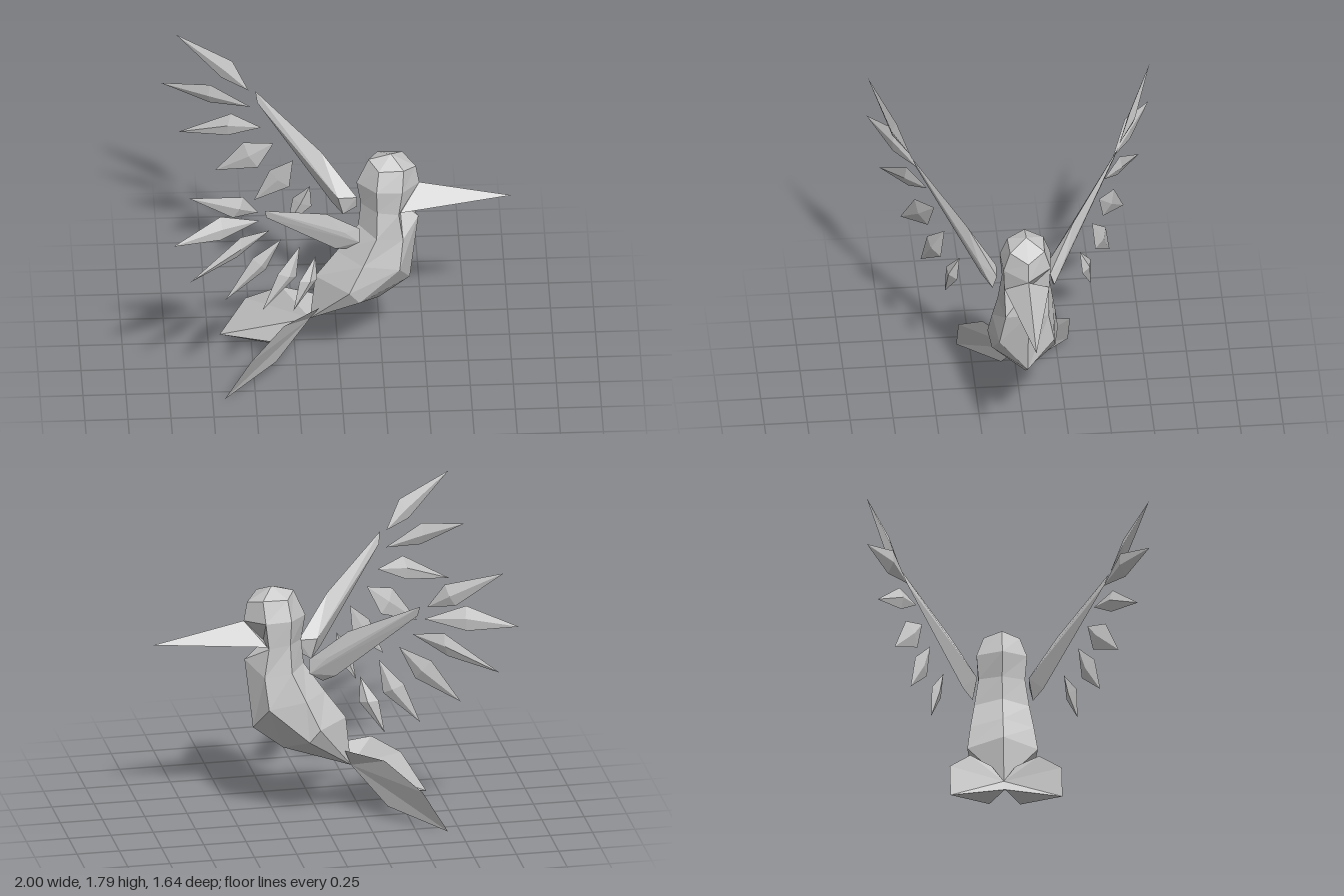
import * as THREE from 'three';
import { ConvexGeometry } from 'three/addons/geometries/ConvexGeometry.js';

const material = new THREE.MeshStandardMaterial({
  color: 0xcccccc, flatShading: true, side: THREE.DoubleSide,
});

const vec = (p, s = 1) => new THREE.Vector3(p[0], p[1], p[2] * s);

function named(name, geometry) {
  const mesh = new THREE.Mesh(geometry, material);
  mesh.name = name;
  return mesh;
}

// Flat-shaded facets from corners and triangle index triples
function facets(points, index) {
  const g = new THREE.BufferGeometry().setFromPoints(points);
  g.setIndex(index);
  const flat = g.toNonIndexed();
  flat.computeVertexNormals();
  return flat;
}

const hull = (points, s = 1) => new ConvexGeometry(points.map(p => vec(p, s)));

// Body and head: six-sided rings given as back ridge, rear side, fore side, front ridge
function bodyGeometry() {
  const rings = [
    [[-0.14, 0.64, 0], [0.05, 0.65, 0.205], [0.11, 0.57, 0.185], [0.23, 0.48, 0]],
    [[-0.015, 0.815, 0], [0.13, 0.825, 0.185], [0.345, 0.78, 0.16], [0.41, 0.62, 0]],
    [[0.11, 1.0, 0], [0.21, 1.0, 0.16], [0.365, 0.97, 0.125], [0.46, 1.05, 0]],
    [[0.125, 1.15, 0], [0.215, 1.17, 0.135], [0.34, 1.15, 0.13], [0.35, 1.155, 0]],
    [[0.10, 1.30, 0], [0.21, 1.32, 0.147], [0.36, 1.31, 0.137], [0.465, 1.29, 0]],
    [[0.17, 1.46, 0], [0.225, 1.44, 0.105], [0.37, 1.44, 0.1], [0.445, 1.405, 0]],
  ];
  const pts = [];
  for (const [back, rear, fore, front] of rings) {
    pts.push(vec(back), vec(rear), vec(fore), vec(front), vec(fore, -1), vec(rear, -1));
  }
  const rump = pts.push(new THREE.Vector3(-0.17, 0.34, 0)) - 1;
  const crown = pts.push(new THREE.Vector3(0.3, 1.495, 0)) - 1;
  const top = (rings.length - 1) * 6;
  const index = [];
  for (let i = 0; i < 6; i++) {
    const j = (i + 1) % 6;
    index.push(rump, j, i, crown, top + i, top + j);
    for (let r = 0; r < top; r += 6) {
      index.push(r + i, r + j, r + 6 + j, r + i, r + 6 + j, r + 6 + i);
    }
  }
  return facets(pts, index);
}

// Tail feather: shallow folded blade, root at the rump
function tailGeometry(s) {
  const pts = [
    [-0.17, 0.34, 0], [-0.12, 0.46, 0.07], [-0.33, 0.43, 0.2], [-0.53, 0.265, 0.325],
    [-0.68, 0.01, 0.325], [-0.37, 0.10, 0.09], [-0.40, 0.18, 0],
  ].map(p => vec(p, s));
  const index = [
    0, 1, 2, 0, 2, 3, 0, 3, 4, 0, 4, 5, // underside
    0, 4, 6, 0, 6, 5, 4, 5, 6, // inner fold
  ];
  return facets(pts, index);
}

// Wing feathers: root, tip, upper corner, lower corner
const feathers = [
  [[-0.50, 1.54, 0.61], [-0.91, 1.80, 0.82], [-0.59, 1.70, 0.68], [-0.65, 1.57, 0.70]],
  [[-0.49, 1.45, 0.57], [-1.00, 1.46, 0.82], [-0.72, 1.55, 0.66], [-0.72, 1.405, 0.69]],
  [[-0.43, 1.34, 0.515], [-0.90, 1.155, 0.755], [-0.60, 1.37, 0.62], [-0.62, 1.225, 0.61]],
  [[-0.36, 1.25, 0.48], [-0.69, 0.95, 0.65], [-0.53, 1.19, 0.58], [-0.45, 1.06, 0.51]],
  [[-0.25, 1.16, 0.43], [-0.47, 0.80, 0.55], [-0.38, 1.03, 0.52], [-0.27, 0.96, 0.45]],
  [[-0.155, 1.03, 0.35], [-0.285, 0.70, 0.425], [-0.25, 0.90, 0.42], [-0.145, 0.88, 0.365]],
];

function featherGeometry(corners, s) {
  const pts = corners.map(p => vec(p, s));
  const [root, tip, upper, lower] = pts;
  const across = lower.clone().sub(upper);
  const normal = tip.clone().sub(root).cross(across).normalize();
  const mid = upper.clone().add(lower).multiplyScalar(0.5);
  for (const side of [-0.022, 0.022]) pts.push(mid.clone().addScaledVector(normal, side));
  return new ConvexGeometry(pts);
}

// Wing arm: faceted limb tapering from the shoulder
const arm = [
  [-0.46, 1.54, 0.60], [-0.45, 1.475, 0.575], [-0.09, 1.30, 0.31],
  [0.11, 1.08, 0.155], [0.11, 1.00, 0.18], [0.03, 0.95, 0.175], [-0.035, 1.0, 0.235],
  [0.02, 1.12, 0.25], [0.0, 1.08, 0.15],
];

export function createModel() {
  const bird = new THREE.Group();
  bird.name = 'bird';
  bird.add(named('body', bodyGeometry()));
  bird.add(named('beak', hull([
    [0.465, 1.29, 0], [0.35, 1.165, 0.13], [0.35, 1.165, -0.13], [0.35, 1.15, 0], [1, 1.178, 0],
  ])));
  for (const [side, s] of [['front', 1], ['back', -1]]) {
    const wing = new THREE.Group();
    wing.name = side + 'Wing';
    wing.add(named('wingArm', hull(arm, s)));
    feathers.forEach((f, i) => wing.add(named('wingFeather' + (i + 1), featherGeometry(f, s))));
    bird.add(wing, named(side + 'TailFeather', tailGeometry(s)));
  }
  return bird;
}
